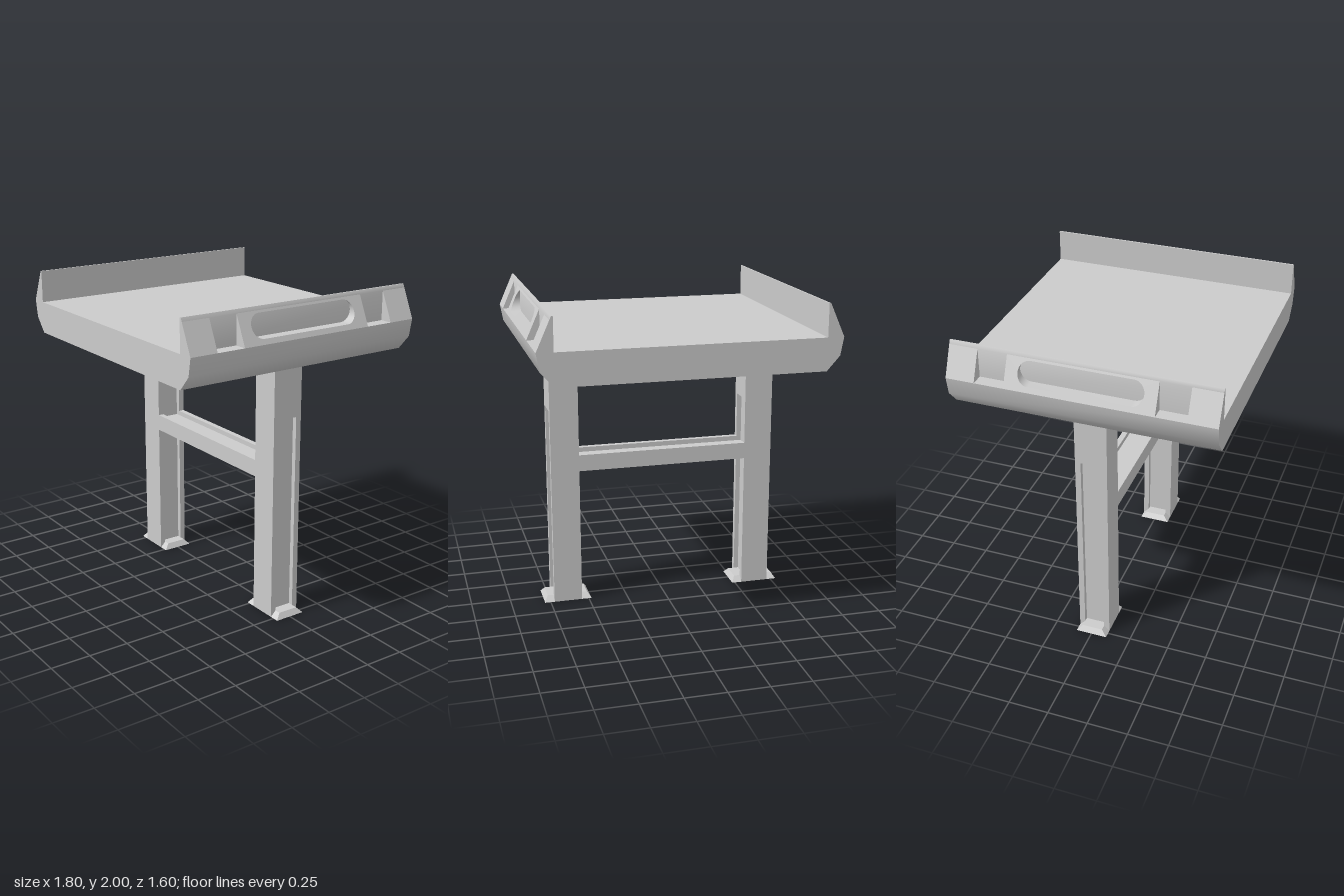
import * as THREE from 'three';
import { toCreasedNormals } from 'three/addons/utils/BufferGeometryUtils.js';

const material = new THREE.MeshStandardMaterial({ color: 0xcccccc });

function addMesh(parent, name, geometry, x = 0, y = 0, z = 0) {
  const mesh = new THREE.Mesh(geometry, material);
  mesh.name = name;
  mesh.position.set(x, y, z);
  parent.add(mesh);
  return mesh;
}

const polygon = (points) => new THREE.Shape(points.map(([x, y]) => new THREE.Vector2(x, y)));

const extrude = (shape, depth) =>
  new THREE.ExtrudeGeometry(shape, { depth, bevelEnabled: false, curveSegments: 10 });

// I-beam section: w and d overall, grooves cut into both w sides
function beamSection(w, d, groove, grooveHalf) {
  const a = w / 2, b = d / 2, c = a - groove, g = grooveHalf;
  return polygon([[-a, -b], [a, -b], [a, -g], [c, -g], [c, g], [a, g],
    [a, b], [-a, b], [-a, g], [-c, g], [-c, -g], [-a, -g]]);
}

// Sloped outer skin of a raised rim, between z0 and z1, with an optional slot
const RIM_BASE = 1.8, RIM_TOP = 1.978, RIM_BACK = 0.82, RIM_OUT = 0.9;
function rimBlock(z0, z1, slot) {
  const shape = polygon([[z0, RIM_BASE], [z1, RIM_BASE], [z1, RIM_TOP], [z0, RIM_TOP]]);
  if (slot) {
    const r = 0.0675, cx = 0.37 - r, cy = 1.8975;
    const hole = new THREE.Path();
    hole.absarc(cx, cy, r, -Math.PI / 2, Math.PI / 2, false);
    hole.absarc(-cx, cy, r, Math.PI / 2, Math.PI * 1.5, false);
    hole.closePath();
    shape.holes.push(hole);
  }
  const geometry = extrude(shape, RIM_OUT - RIM_BACK).rotateY(Math.PI / 2).translate(RIM_BACK, 0, 0);
  const p = geometry.attributes.position;
  for (let i = 0; i < p.count; i++) {
    // lean the outer face inward towards the top
    if (p.getX(i) > RIM_BACK + 0.01) {
      const t = (p.getY(i) - RIM_BASE) / (RIM_TOP - RIM_BASE);
      p.setX(i, RIM_OUT + (RIM_BACK - RIM_OUT) * t);
    }
  }
  geometry.computeVertexNormals();
  return toCreasedNormals(geometry, 0.5);
}

// Low tapered foot
function footGeometry() {
  const geometry = new THREE.BoxGeometry(0.305, 0.035, 0.2);
  const p = geometry.attributes.position;
  for (let i = 0; i < p.count; i++) {
    if (p.getY(i) > 0) {
      p.setX(i, Math.sign(p.getX(i)) * 0.13);
      p.setZ(i, Math.sign(p.getZ(i)) * 0.065);
    }
  }
  geometry.computeVertexNormals();
  return geometry;
}

export function createModel() {
  const model = new THREE.Group();
  model.name = 'trayTable';

  // Tray: one profile run from back to front
  const half = [[0.8, 1.6], [0.88, 1.69], [0.9, RIM_BASE], [RIM_BACK, RIM_BASE],
    [RIM_BACK, RIM_TOP], [0.81, 2], [0.8, 2], [0.8, 1.8]];
  const mirrored = half.map(([x, y]) => [-x, y]).reverse();
  const tray = extrude(polygon([...half, ...mirrored]), 1.6).translate(0, 0, -0.8);
  addMesh(model, 'trayTop', toCreasedNormals(tray, 0.9));

  for (const side of ['left', 'right']) {
    const group = new THREE.Group();
    group.name = side + 'Side';
    if (side === 'right') group.rotation.y = Math.PI;
    model.add(group);

    // Rim: end blocks, open notches, and a middle block with a grip slot
    addMesh(group, 'rimFront', rimBlock(-0.8, -0.625));
    addMesh(group, 'rimBack', rimBlock(0.625, 0.8));
    addMesh(group, 'rimGrip', rimBlock(-0.445, 0.445, true));

    // Leg: grooved lower length, solid upper length, foot
    const x = 0.635;
    const lower = extrude(beamSection(0.18, 0.2, 0.03, 0.065), 1.27).rotateX(-Math.PI / 2);
    addMesh(group, 'legLower', lower, x);
    addMesh(group, 'legUpper', new THREE.BoxGeometry(0.18, 0.34, 0.2), x, 1.44);
    addMesh(group, 'foot', footGeometry(), x, 0.0175);
  }

  // Crossbar with grooves above and below, running into the leg webs
  const bar = extrude(beamSection(0.105, 0.2, 0.03, 0.065), 1.16);
  bar.translate(0, 0, -0.58).rotateZ(Math.PI / 2).rotateY(Math.PI / 2);
  addMesh(model, 'crossbar', bar, 0, 0.9275);

  return model;
}
